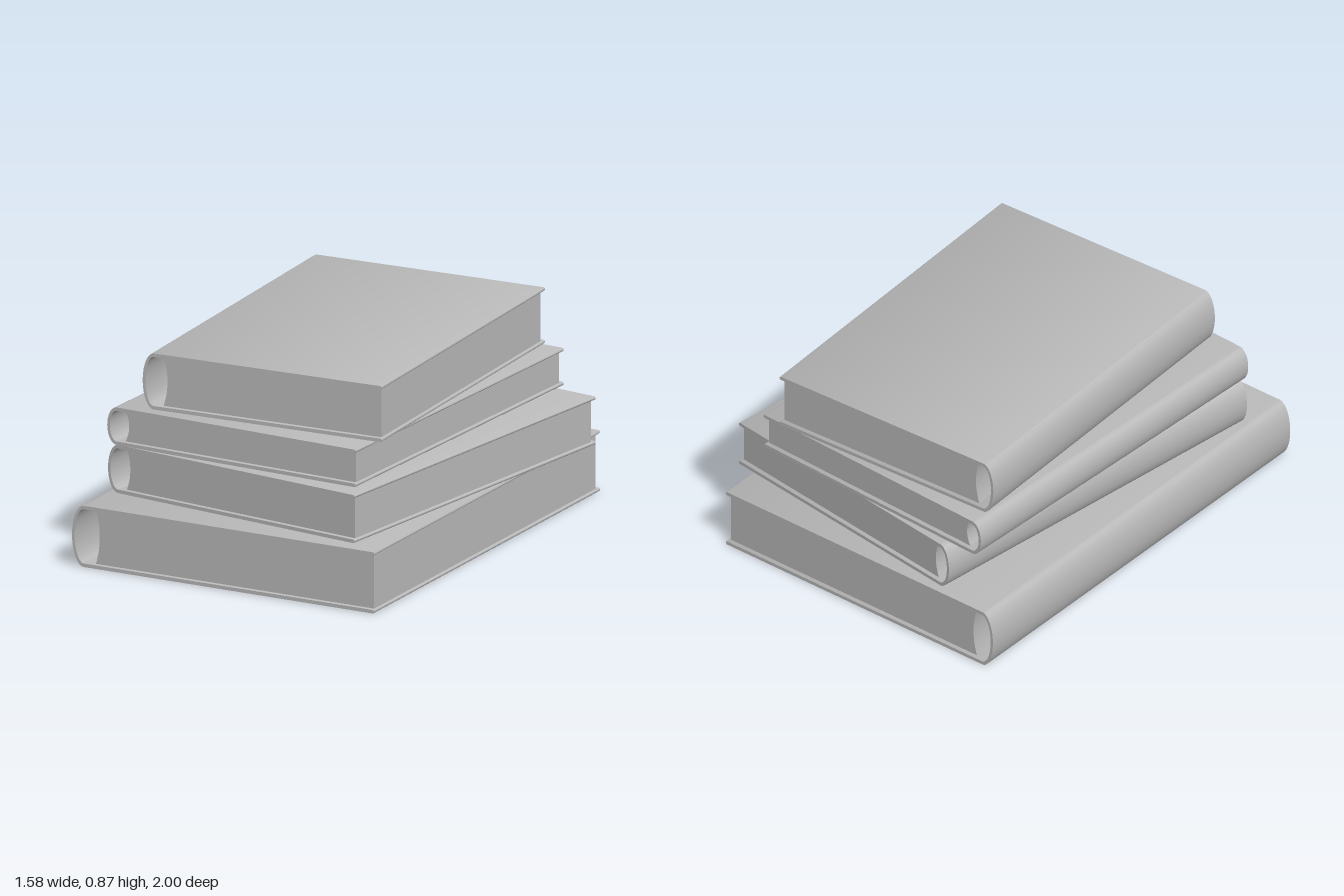
import * as THREE from 'three';
import { toCreasedNormals } from 'three/addons/utils/BufferGeometryUtils.js';

const BOARD = 0.015; // cover thickness

// Extrude a profile along z, centred, with smooth curves and sharp edges
function extrude(shape, length) {
  const geometry = new THREE.ExtrudeGeometry(shape, { depth: length, bevelEnabled: false, curveSegments: 20 });
  geometry.translate(0, 0, -length / 2);
  return toCreasedNormals(geometry, 0.6);
}

// Hardback cover: two boards joined by a rounded hollow spine on -x
function coverShape(w, h, bulge) {
  const r = BOARD / 2, right = w / 2 - r, left = -w / 2 + bulge;
  const s = new THREE.Shape();
  s.moveTo(right, 0);
  s.absarc(right, r, r, -Math.PI / 2, Math.PI / 2, false);
  s.lineTo(left, BOARD);
  s.absellipse(left, h / 2, bulge - BOARD * 0.8, h / 2 - BOARD, Math.PI * 1.5, Math.PI / 2, true);
  s.lineTo(right, h - BOARD);
  s.absarc(right, h - r, r, -Math.PI / 2, Math.PI / 2, false);
  s.lineTo(left, h);
  s.absellipse(left, h / 2, bulge, h / 2, Math.PI / 2, Math.PI * 1.5, false);
  s.lineTo(right, 0);
  return s;
}

// Page block with a slightly hollow back
function pageShape(w, h, back) {
  const left = -w / 2 + back, right = w / 2 - 0.01;
  const s = new THREE.Shape();
  s.moveTo(left, BOARD);
  s.lineTo(right, BOARD);
  s.lineTo(right, h - BOARD);
  s.lineTo(left, h - BOARD);
  s.quadraticCurveTo(left + 0.035, h / 2, left, BOARD);
  return s;
}

export function createModel() {
  const group = new THREE.Group();
  group.name = 'bookStack';
  const grey = new THREE.MeshStandardMaterial({ color: 0xb8b8b8 });
  grey.name = 'grey';

  // Books from the bottom up
  const books = [
    { name: 'bottomBook', w: 1.4, l: 1.922, y: 0, h: 0.261, x: -0.037, z: 0, turn: 0.056, bulge: 0.055, back: 0.1 },
    { name: 'secondBook', w: 1.236, l: 1.68, y: 0.262, h: 0.205, x: 0.0275, z: -0.015, turn: 0.182, bulge: 0.05, back: 0.08 },
    { name: 'thirdBook', w: 1.18, l: 1.643, y: 0.468, h: 0.16, x: -0.063, z: -0.05, turn: 0.099, bulge: 0.045, back: 0.075 },
    { name: 'topBook', w: 1.082, l: 1.518, y: 0.629, h: 0.239, x: -0.037, z: -0.075, turn: 0.011, bulge: 0.05, back: 0.085 },
  ];

  for (const b of books) {
    const book = new THREE.Group();
    book.name = b.name;
    const cover = new THREE.Mesh(extrude(coverShape(b.w, b.h, b.bulge), b.l), grey);
    cover.name = 'cover';
    const pages = new THREE.Mesh(extrude(pageShape(b.w, b.h, b.back), b.l - 0.04), grey);
    pages.name = 'pages';
    book.add(cover, pages);
    book.position.set(b.x, b.y, b.z);
    book.rotation.y = -b.turn;
    group.add(book);
  }
  return group;
}
